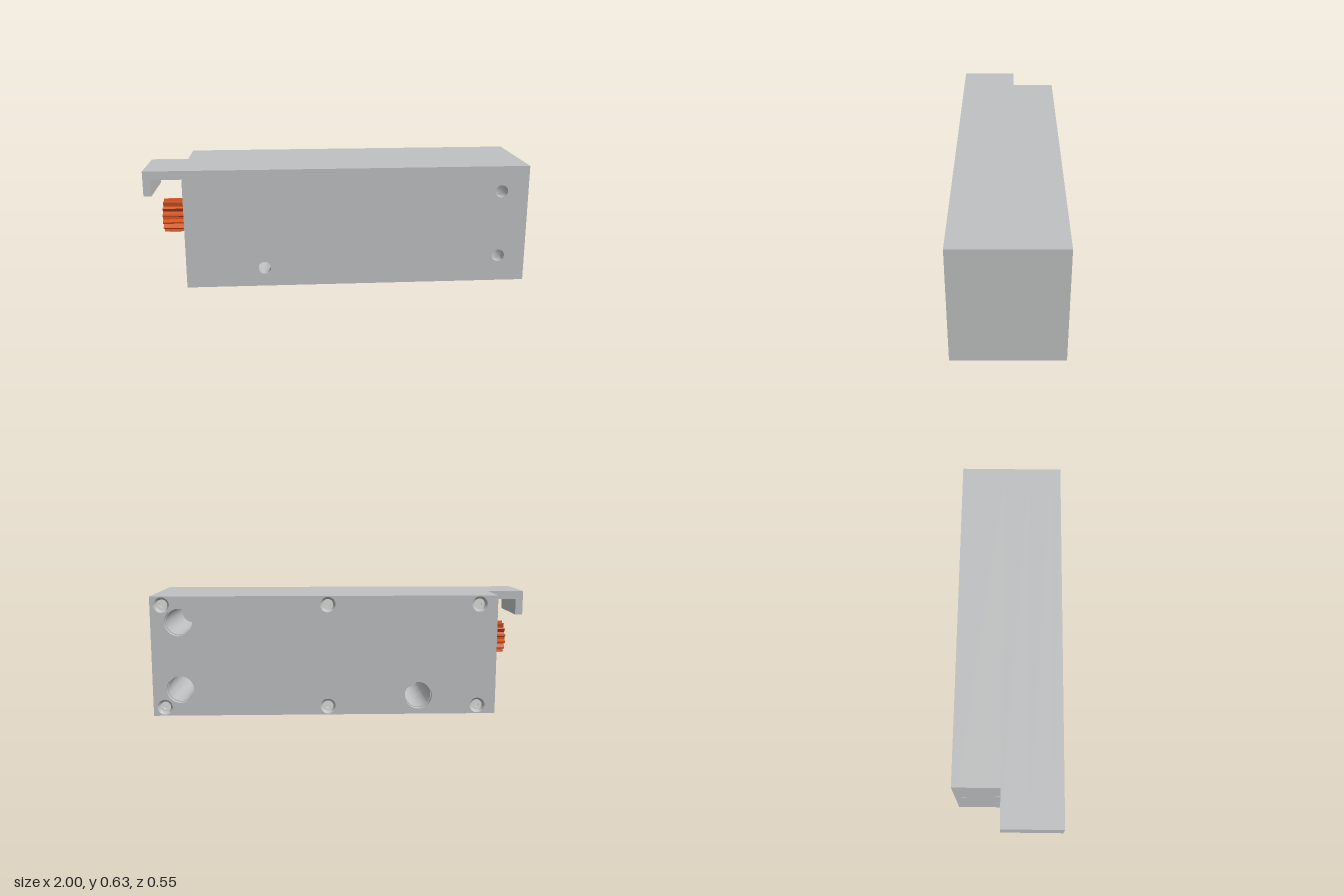
import * as THREE from 'three';
import { toCreasedNormals } from 'three/addons/utils/BufferGeometryUtils.js';

const mat = (name, color) => {
  const m = new THREE.MeshStandardMaterial({ color });
  m.name = name;
  return m;
};

export function createModel() {
  const housingGrey = mat('housingGrey', 0xbfc0c1);
  const paleMetal = mat('paleMetal', 0xdededc);
  const gearOrange = mat('gearOrange', 0xd9551f);
  const contactBlack = mat('contactBlack', 0x161616);

  const model = new THREE.Group();
  model.name = 'gearMotorHousing';

  const add = (name, geometry, material, x = 0, y = 0, z = 0, parent = model) => {
    const mesh = new THREE.Mesh(geometry, material);
    mesh.name = name;
    mesh.position.set(x, y, z);
    parent.add(mesh);
    return mesh;
  };
  const extrude = (shape, depth) => toCreasedNormals(
    new THREE.ExtrudeGeometry(shape, { depth, bevelEnabled: false, curveSegments: 20 }), 0.5);
  const drill = (shape, x, y, r) =>
    shape.holes.push(new THREE.Path().absarc(x, y, r, 0, Math.PI * 2, true));

  const L = -0.805, R = 1, H = 0.63;
  const front = 0.275, back = -0.275, plateZ = -0.245;
  const mounts = [[0.857, 0.495], [0.857, 0.14], [-0.395, 0.1]];
  const screws = [0.94, 0.083, -0.71].flatMap(x => [[x, 0.045], [x, 0.585]]);
  const slot = { x0: 0.51, x1: 0.67, h: 0.06 };

  // Housing outline, with optional overhang, bottom channel and end channel
  const outline = ({ hook, bottom, end }) => {
    const p = [[L, 0]];
    if (bottom) p.push([slot.x0, 0], [slot.x0, slot.h], [slot.x1, slot.h], [slot.x1, 0]);
    p.push([R, 0], [R, H]);
    if (hook) p.push([-1, H], [-1, 0.5], [-0.96, 0.5], [-0.96, 0.585], [L, 0.585]);
    else p.push([L, H]);
    if (end) p.push([L, 0.387], [L + 0.06, 0.387], [L + 0.06, 0.323], [L, 0.323]);
    return new THREE.Shape(p.map(q => new THREE.Vector2(...q)));
  };

  // Housing stacked in layers from back to front
  const layers = [
    { name: 'backCover', z0: back, z1: plateZ, r: 0.072, screws: true },
    { name: 'rearHousing', z0: plateZ, z1: -0.035, r: 0.068, bottom: true, end: true },
    { name: 'middleHousing', z0: -0.035, z1: 0.1, r: 0.068, hook: true, bottom: true, end: true },
    { name: 'connectorHousing', z0: 0.1, z1: 0.225, r: 0.068, hook: true, bottom: true },
    { name: 'frontWall', z0: 0.225, z1: front, r: 0.033, hook: true },
  ];
  for (const layer of layers) {
    const shape = outline(layer);
    mounts.forEach(([x, y]) => drill(shape, x, y, layer.r));
    if (layer.screws) screws.forEach(([x, y]) => drill(shape, x, y, 0.04));
    add(layer.name, extrude(shape, layer.z1 - layer.z0), housingGrey, 0, 0, layer.z0);
  }

  // Cover tongues filling the two channels, leaving hairline joints
  const gap = 0.002, tongueDepth = 0.1 - plateZ;
  const tongueZ = (0.1 + plateZ) / 2;
  add('bottomTongue',
    new THREE.BoxGeometry(slot.x1 - slot.x0 - 2 * gap, slot.h, tongueDepth),
    housingGrey, (slot.x0 + slot.x1) / 2, slot.h / 2, tongueZ);
  add('endTongue', new THREE.BoxGeometry(0.06, 0.064 - 2 * gap, tongueDepth),
    housingGrey, L + 0.03, 0.355, tongueZ);

  // Countersunk cover screws
  const lathe = pts => toCreasedNormals(
    new THREE.LatheGeometry(pts.map(p => new THREE.Vector2(...p)), 24), 0.5).rotateX(-Math.PI / 2);
  const sinkGeo = lathe([[0.04, 0], [0.028, -0.016]]);
  const headGeo = lathe([[0.028, -0.016], [0.013, -0.016], [0.013, -0.028], [0, -0.028]]);
  for (const [x, y] of screws) {
    const screw = new THREE.Group();
    screw.name = 'coverScrew';
    screw.position.set(x, y, back);
    add('countersink', sinkGeo, housingGrey, 0, 0, 0, screw);
    add('screwHead', headGeo, paleMetal, 0, 0, 0, screw);
    model.add(screw);
  }

  // Pinion gear on the end face
  const gearY = 0.355, gearZ = 0.11, teeth = 14;
  const gearPts = [];
  for (let i = 0; i < teeth; i++) {
    for (const [t, r] of [[-0.3, 0.066], [-0.1, 0.09], [0.1, 0.09], [0.3, 0.066]]) {
      const a = (i + t) / teeth * Math.PI * 2 + Math.PI / 2;
      gearPts.push(new THREE.Vector2(Math.cos(a) * r, Math.sin(a) * r));
    }
  }
  const gearGeo = extrude(new THREE.Shape(gearPts), 0.12).rotateY(-Math.PI / 2);
  add('pinionGear', gearGeo, gearOrange, L, gearY, gearZ);

  // Motor screws above and below the gear
  const discGeo = new THREE.CylinderGeometry(0.033, 0.033, 0.004, 24).rotateZ(Math.PI / 2);
  for (const s of [-1, 1]) add('motorScrew', discGeo, paleMetal, L, gearY + s * 0.105, gearZ);

  // Connector in the underside: pale frame, black core and contacts
  const w = slot.x1 - slot.x0 - 2 * gap, d = 0.121;
  const rect = (T, a, b) => new T([[-a, -b], [a, -b], [a, b], [-a, b]]
    .map(p => new THREE.Vector2(...p)));
  const frame = rect(THREE.Shape, w / 2, d / 2);
  frame.holes.push(rect(THREE.Path, w / 2 - 0.014, d / 2 - 0.022));
  const cx = (slot.x0 + slot.x1) / 2, cz = 0.1625;
  add('connectorFrame', extrude(frame, 0.055).rotateX(-Math.PI / 2), paleMetal, cx, 0.003, cz);
  add('connectorCore', new THREE.BoxGeometry(w - 0.028, 0.03, d - 0.044),
    contactBlack, cx, 0.035, cz);
  const pinGeo = new THREE.BoxGeometry(0.008, 0.018, 0.065);
  for (let i = 0; i < 8; i++)
    add('connectorContact', pinGeo, contactBlack, cx + (i - 3.5) * 0.0155, 0.013, cz);

  return model;
}
